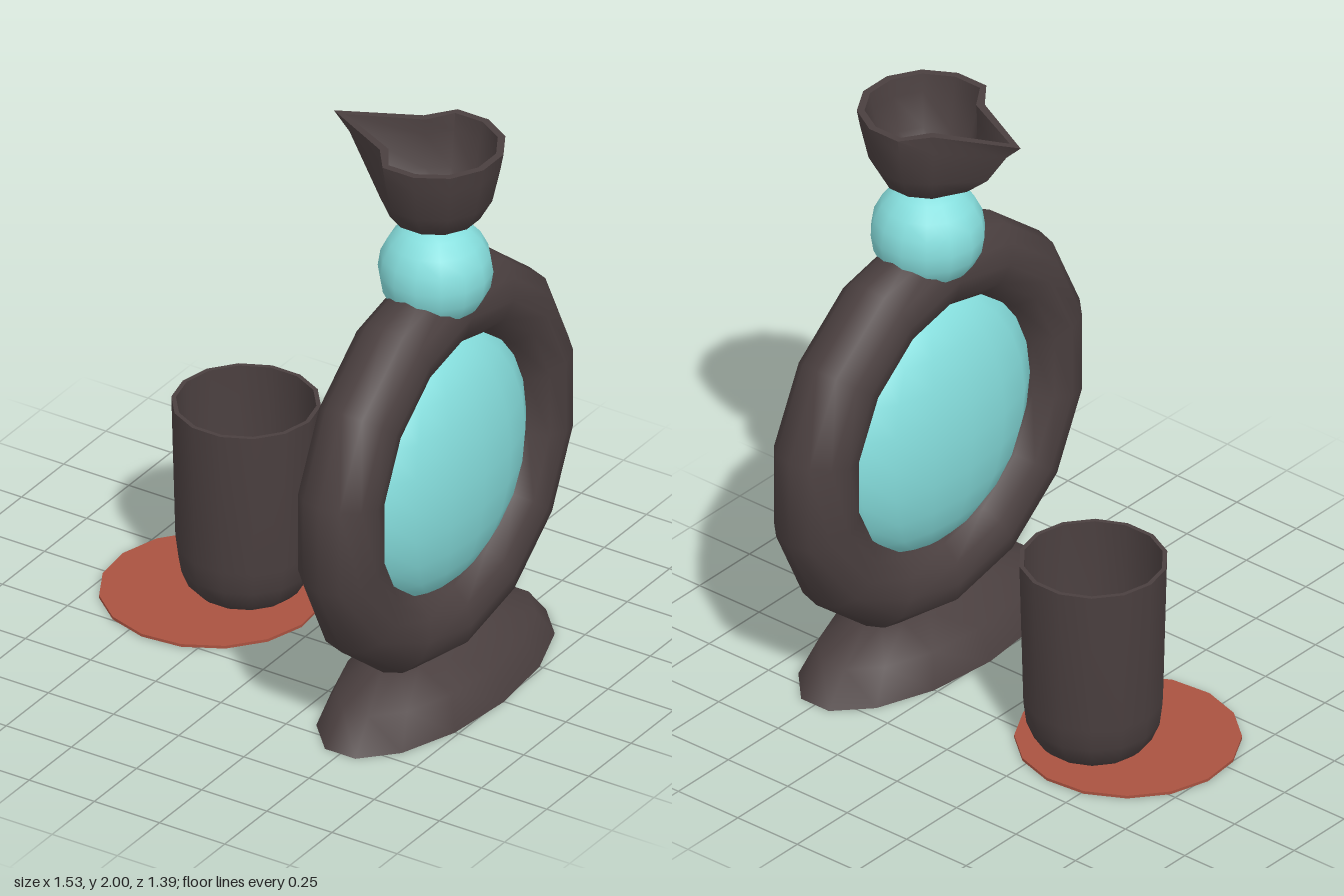
import * as THREE from 'three';
import { toCreasedNormals } from 'three/addons/utils/BufferGeometryUtils.js';

const paint = (color) => new THREE.MeshStandardMaterial({ color, side: THREE.DoubleSide });
const dark = paint(0x4a3f3f);
const teal = paint(0x86dedd);
const rust = paint(0xa95240);

function add(parent, name, geometry, material, x = 0, y = 0, z = 0) {
  const mesh = new THREE.Mesh(geometry, material);
  mesh.name = name;
  mesh.position.set(x, y, z);
  parent.add(mesh);
  return mesh;
}

// 14-sided turned shape with a corner on the x axis
function turned(profile) {
  const points = profile.map(([r, y]) => new THREE.Vector2(r, y));
  return new THREE.LatheGeometry(points, 14).rotateY(Math.PI / 2);
}

// One level of the pouring lip: a round outline pulled to a point at -x
function lipRing([y, r, tip, pinch]) {
  const ring = [[-tip, y, 0]];
  for (let deg = 45; deg <= 315; deg += 30) {
    const a = THREE.MathUtils.degToRad(deg);
    const d = deg === 45 || deg === 315 ? r * pinch : r;
    ring.push([-d * Math.cos(a), y, d * Math.sin(a)]);
  }
  return ring;
}

// Skin a stack of equal rings
function loft(rings) {
  const n = rings[0].length;
  const index = [];
  for (let i = 0; i < rings.length - 1; i++) {
    for (let j = 0; j < n; j++) {
      const a = i * n + j, b = i * n + (j + 1) % n;
      index.push(a, b, a + n, b, b + n, a + n);
    }
  }
  const geometry = new THREE.BufferGeometry();
  geometry.setAttribute('position', new THREE.Float32BufferAttribute(rings.flat(2), 3));
  geometry.setIndex(index);
  geometry.computeVertexNormals();
  return toCreasedNormals(geometry, 0.9);
}

export function createModel() {
  const model = new THREE.Group();
  const bottle = new THREE.Group();
  bottle.name = 'bottle';
  bottle.position.x = 0.5;
  model.add(bottle);

  // Hollow oval foot
  const foot = turned([[1, 0], [0.84, 0.11], [0.47, 0.178], [0, 0.2]]).scale(0.263, 1, 0.58);
  add(bottle, 'foot', foot, dark);

  // Ring body with a lens filling its hole
  const ring = new THREE.TorusGeometry(0.573, 0.14, 12, 14).rotateZ(Math.PI / 2).rotateY(Math.PI / 2);
  add(bottle, 'ringBody', ring, dark, 0, 0.82, 0);
  const lens = new THREE.SphereGeometry(1, 16, 12).scale(0.19, 0.46, 0.46);
  add(bottle, 'lens', lens, teal, 0, 0.82, 0);

  // Ball neck
  add(bottle, 'neckBall', new THREE.SphereGeometry(0.188, 14, 10), teal, 0, 1.535, 0);

  // Pouring lip: outside from the floor up, then the inside back down
  // Each level: height, radius, reach of the point, pinch beside the point
  const lip = [
    [1.702, 0.001, 0.001, 1], [1.702, 0.075, 0.075, 1], [1.745, 0.15, 0.165, 1],
    [1.82, 0.192, 0.25, 0.95], [1.94, 0.219, 0.33, 0.86], [2, 0.23, 0.39, 0.8],
    [2, 0.205, 0.345, 0.76], [1.94, 0.195, 0.29, 0.82], [1.82, 0.168, 0.215, 0.93],
    [1.75, 0.125, 0.135, 1], [1.717, 0.065, 0.065, 1], [1.717, 0.001, 0.001, 1],
  ];
  add(bottle, 'pouringLip', loft(lip.map(lipRing)), dark);

  // Coaster
  const coaster = new THREE.CylinderGeometry(0.367, 0.367, 0.01, 16).rotateY(-0.096);
  add(model, 'coaster', coaster, rust, -0.405, 0.008, -0.075);

  // Round-bottomed cup with a thin wall
  const cup = turned([
    [0, 0], [0.155, 0], [0.195, 0.04], [0.22, 0.1], [0.23, 0.18], [0.243, 0.695],
    [0.228, 0.695], [0.215, 0.18], [0.205, 0.11], [0.18, 0.055], [0.15, 0.02], [0, 0.02],
  ]);
  add(model, 'cup', toCreasedNormals(cup, 0.9), dark, -0.33, 0, -0.16);

  return model;
}
